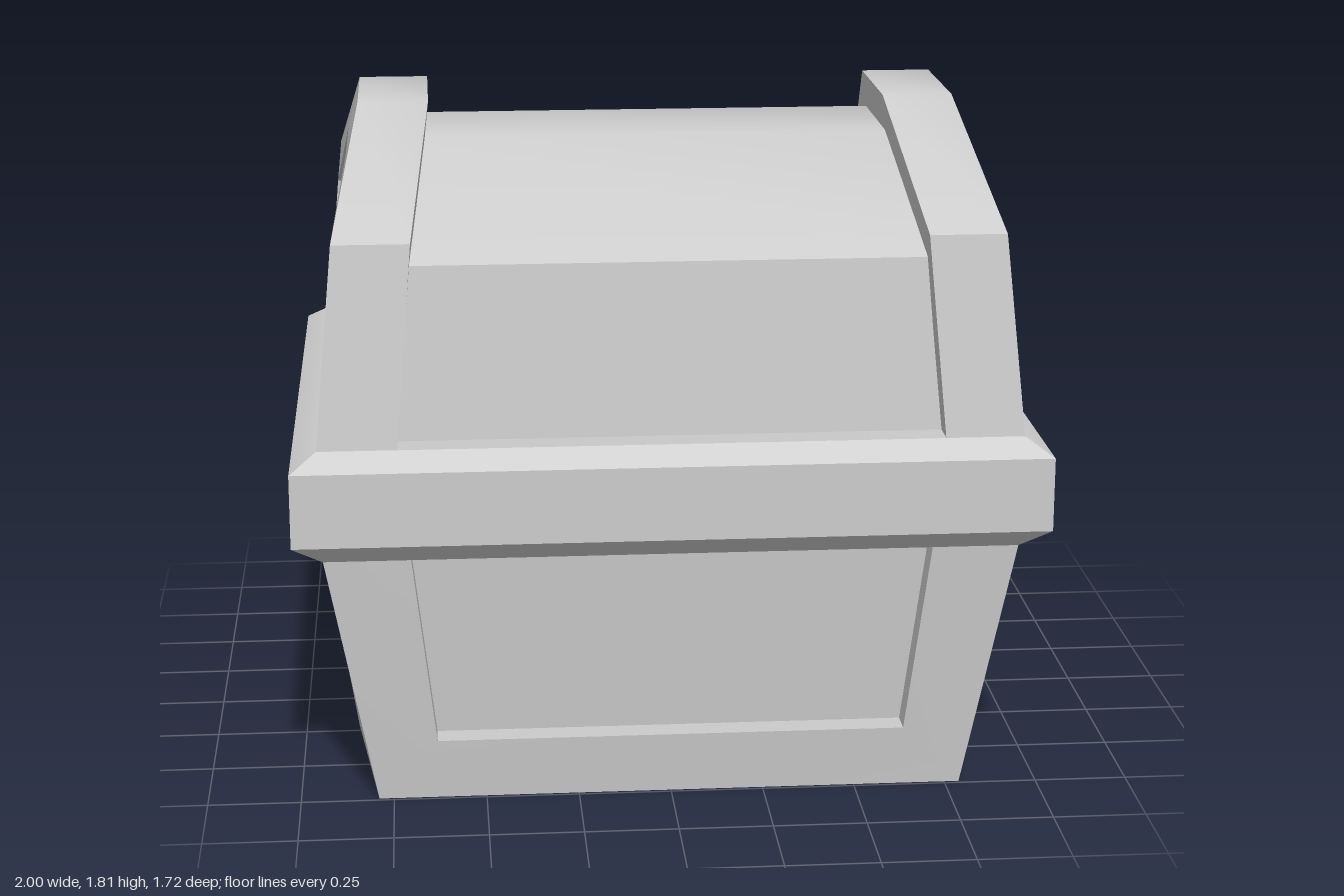
import * as THREE from 'three';
import { toCreasedNormals } from 'three/addons/utils/BufferGeometryUtils.js';

const material = new THREE.MeshStandardMaterial({ color: 0xcccccc });
const CENTRE_Z = 0.03; // the chest sits forward of its lock

function mesh(name, geometry) {
  const m = new THREE.Mesh(geometry, material);
  m.name = name;
  return m;
}

// Surface through rows of points; closed rows also get end caps.
function skin(rows, closed = false) {
  const pos = [];
  const tri = (a, b, c) => pos.push(...a, ...b, ...c);
  for (let r = 0; r < rows.length - 1; r++) {
    const a = rows[r], b = rows[r + 1], n = a.length;
    for (let i = 0; i < (closed ? n : n - 1); i++) {
      const j = (i + 1) % n;
      tri(a[i], a[j], b[j]);
      tri(a[i], b[j], b[i]);
    }
  }
  if (closed) {
    const first = rows[0], last = rows[rows.length - 1];
    for (let i = 1; i < first.length - 1; i++) {
      tri(first[0], first[i + 1], first[i]);
      tri(last[0], last[i], last[i + 1]);
    }
  }
  const g = new THREE.BufferGeometry();
  g.setAttribute('position', new THREE.Float32BufferAttribute(pos, 3));
  return toCreasedNormals(g, THREE.MathUtils.degToRad(35));
}

// Horizontal rectangle at height y
const rect = (y, x, z0, z1 = -z0) => [[-x, y, z0], [x, y, z0], [x, y, z1], [-x, y, z1]];

// The same part on two opposite sides
function addPair(group, name, geometry) {
  for (const turn of [0, Math.PI]) {
    const m = mesh(name, geometry);
    m.rotation.y = turn;
    group.add(m);
  }
}

function createBody() {
  const body = new THREE.Group();
  body.name = 'body';
  body.add(mesh('bodyPanels', skin([rect(0.01, 0.745, 0.645), rect(0.72, 0.85, 0.705)], true)));

  // U-shaped frames around the recessed panels
  const depth = 0.09;
  const frontInner = (d) => [[0.69, 0.7, 0.775 - d], [0.63, 0.17, 0.73 - d], [-0.63, 0.17, 0.73 - d], [-0.69, 0.7, 0.775 - d]];
  const frontOuter = [[0.92, 0.7, 0.775], [0.79, 0, 0.71], [-0.79, 0, 0.71], [-0.92, 0.7, 0.775]];
  addPair(body, 'frontFrame', skin([frontInner(depth), frontInner(0), frontOuter]));

  const sideInner = (d) => [[0.92 - d, 0.7, -0.645], [0.84 - d, 0.17, -0.605], [0.84 - d, 0.17, 0.605], [0.92 - d, 0.7, 0.645]];
  const sideOuter = [[0.92, 0.7, -0.775], [0.79, 0, -0.71], [0.79, 0, 0.71], [0.92, 0.7, 0.775]];
  addPair(body, 'sideFrame', skin([sideInner(depth), sideInner(0), sideOuter]));

  const base = new THREE.PlaneGeometry(1.58, 1.42);
  base.rotateX(Math.PI / 2);
  body.add(mesh('base', base));

  body.add(mesh('lowerRim', skin([rect(0.7, 0.92, 0.775), rect(0.755, 1, 0.83), rect(0.85, 1, 0.83)], true)));
  return body;
}

function createLid() {
  const lid = new THREE.Group();
  lid.name = 'lid';
  lid.add(mesh('upperRim', skin([rect(0.85, 1, 0.83), rect(0.955, 1, 0.83), rect(1, 0.93, 0.77)], true)));

  // Profile from front to back, given as half [x, y, z] points
  const arc = (half) => [...half, ...[...half].reverse().map(([x, y, z]) => [x, y, -z])];

  // Vaulted panel with leaning ends
  const vault = [[0.85, 1, 0.69], [0.8, 1.46, 0.645], [0.745, 1.71, 0.18]];
  const end = (s) => arc(vault).map(([x, y, z]) => [s * x, y, z]).reverse();
  lid.add(mesh('lidPanel', skin([end(-1), end(1)], true)));

  // Raised arch at each end
  const outer = arc([[0.93, 1, 0.765], [0.88, 1.53, 0.695], [0.81, 1.81, 0.195]]);
  const inner = arc([[0.93, 1, 0.645], [0.89, 1.43, 0.595], [0.845, 1.67, 0.18]]);
  const inset = (row, d) => row.map(([x, y, z]) => [x - d, y, z]);
  const outerBack = arc([[0.72, 1, 0.765], [0.675, 1.53, 0.695], [0.62, 1.81, 0.195]]);
  addPair(lid, 'endArch', skin([inset(inner, 0.12), inner, outer, outerBack, inset(inner, 0.21)]));
  return lid;
}

function createLock() {
  const lock = new THREE.Group();
  lock.name = 'lock';
  const face = 0.865;

  lock.add(mesh('lockHasp', skin([rect(0.85, 0.19, face, 0.6), rect(1.17, 0.148, 0.845, 0.6)], true)));

  // Lower plate with a sunken keyhole
  const outline = () => new THREE.Shape([[-0.175, 0.545], [0.175, 0.545], [0.19, 0.85], [-0.19, 0.85]]
    .map(([x, y]) => new THREE.Vector2(x, y)));
  const plate = outline();
  const keyhole = new THREE.Path();
  keyhole.moveTo(-0.055, 0.62);
  keyhole.lineTo(0.055, 0.62);
  keyhole.lineTo(0.028, 0.735);
  keyhole.absarc(0, 0.78, 0.053, -1.01, Math.PI + 1.01, false);
  keyhole.closePath();
  plate.holes.push(keyhole);
  const front = new THREE.ExtrudeGeometry(plate, { depth: 0.05, bevelEnabled: false, curveSegments: 5 });
  front.translate(0, 0, face - 0.05);
  const back = new THREE.ExtrudeGeometry(outline(), { depth: 0.2, bevelEnabled: false });
  back.translate(0, 0, face - 0.25);
  lock.add(mesh('lockPlate', front), mesh('lockBlock', back));

  lock.rotation.y = Math.PI;
  return lock;
}

export function createModel() {
  const model = new THREE.Group();
  model.name = 'chest';
  const body = createBody();
  const lid = createLid();
  body.position.z = lid.position.z = CENTRE_Z;
  model.add(body, lid, createLock());
  return model;
}
